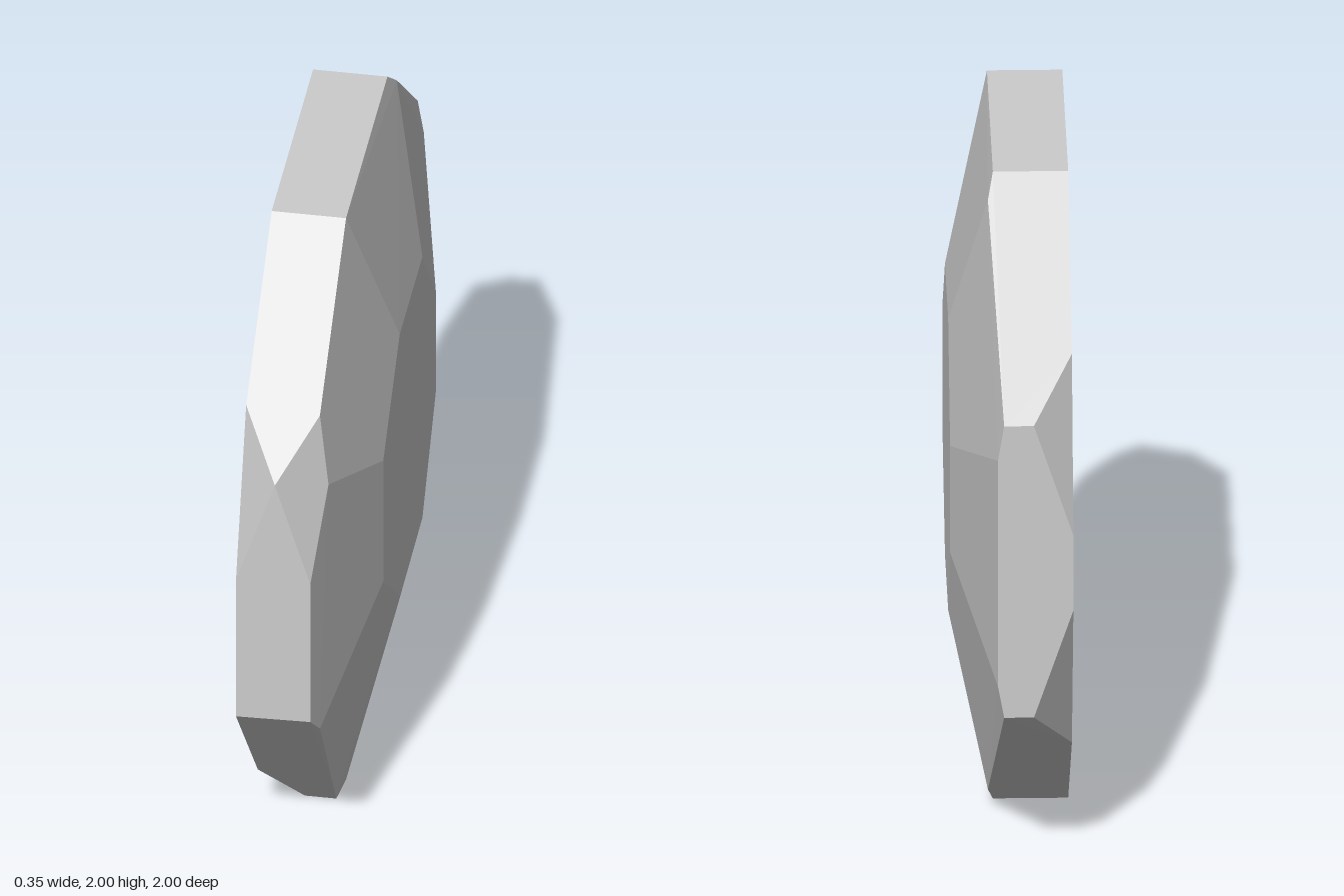
import * as THREE from 'three';
import { ConvexGeometry } from 'three/addons/geometries/ConvexGeometry.js';

// Rings of [z, y] (or [z, y, x]) corners of the faceted disc, which faces +x.
const FACE_X = 0.172, RIM_X = 0.045, BACK_X = -0.175, CHIP_X = -0.06;

// small octagonal table at the centre of the bevelled side
const table = [[0.18, 1.47], [-0.22, 1.47], [-0.46, 1.17], [-0.46, 0.83],
  [-0.22, 0.54], [0.18, 0.54], [0.47, 0.79], [0.47, 1.22]];

// outer edge where the bevel facets meet the rim
const rim = [[0.37, 2], [-0.36, 2], [-0.43, 1.94, 0.061], [-1, 1.47, 0.027],
  [-1, 1.36], [-1, 0.64], [-1, 0.54, 0.027], [-0.43, 0.06, 0.061], [-0.36, 0],
  [0.37, 0], [0.47, 0, 0.033], [0.93, 0.57, 0.062], [1, 0.64],
  [1, 1.13], [0.87, 1.4, 0.077], [0.83, 1.615]];

// points on the rim where corners have been chipped off
const chips = [[1, 1.47], [-1, 1.47], [-1, 0.54], [0.47, 0]];

// outline of the flat back
const back = [[0.37, 2], [-0.36, 2], [-0.82, 1.62], [-1, 1.12], [-1, 0.88],
  [-0.82, 0.38], [-0.36, 0], [0.12, 0], [0.615, 0.18], [1, 0.635],
  [1, 1.12], [0.82, 1.62]];

const ring = (corners, x0) => corners.map(([z, y, x = x0]) => new THREE.Vector3(x, y, z));

export function createModel() {
  const group = new THREE.Group();
  group.name = 'facetedStone';
  const stone = new THREE.MeshStandardMaterial({ color: 0xcccccc });
  stone.name = 'light grey stone';

  // the whole stone is the convex hull of its rings
  const geometry = new ConvexGeometry([
    ...ring(table, FACE_X), ...ring(rim, RIM_X),
    ...ring(chips, CHIP_X), ...ring(back, BACK_X),
  ]);
  const mesh = new THREE.Mesh(geometry, stone);
  mesh.name = 'stoneDisc';
  group.add(mesh);
  return group;
}
